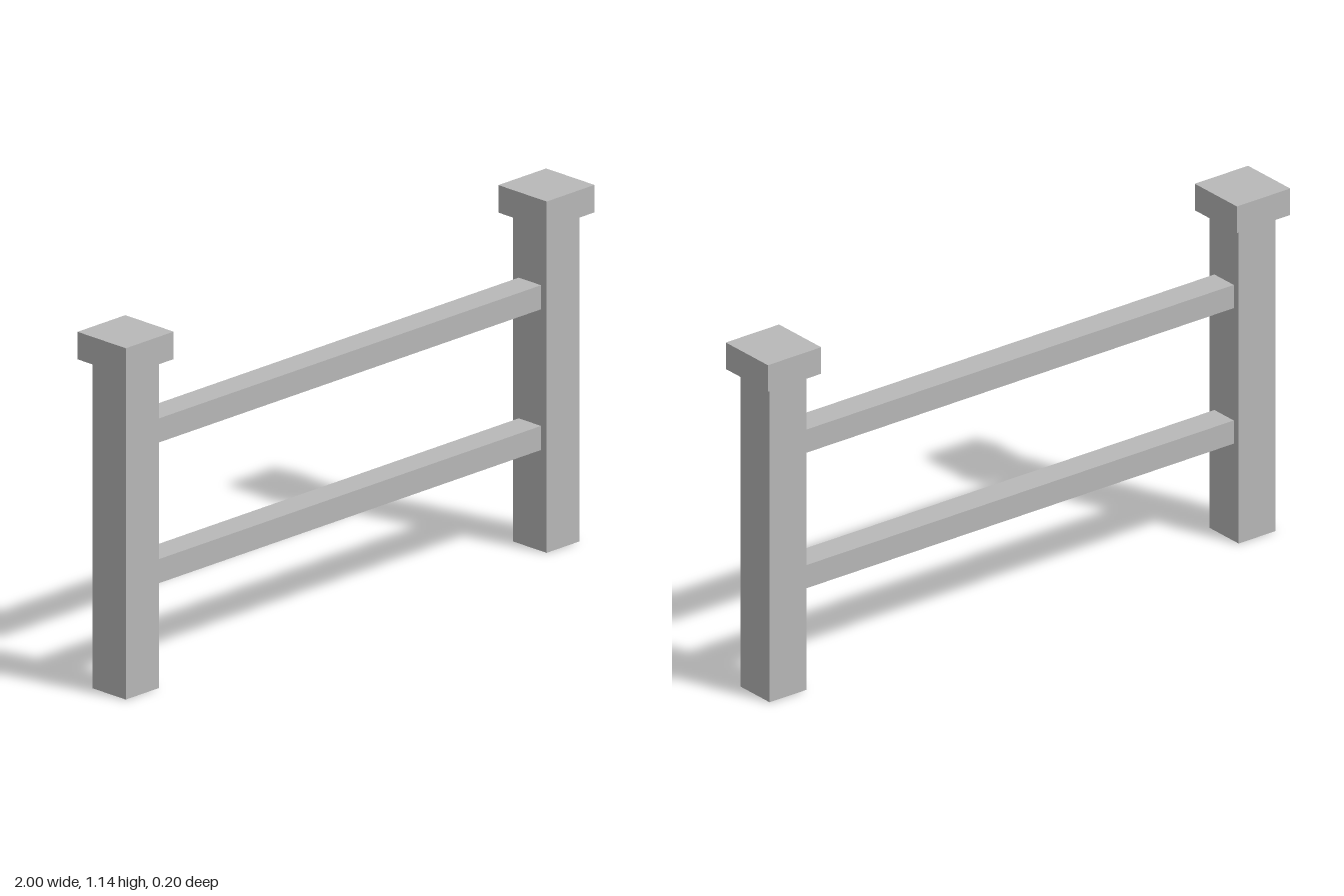
import * as THREE from 'three';

export function createModel() {
  const model = new THREE.Group();
  const grey = new THREE.MeshStandardMaterial({ color: 0xb8b8b8 });
  grey.name = 'plain grey';

  // Box standing on height y
  function addBox(parent, name, width, height, depth, x, y) {
    const mesh = new THREE.Mesh(new THREE.BoxGeometry(width, height, depth), grey);
    mesh.name = name;
    mesh.position.set(x, y + height / 2, 0);
    parent.add(mesh);
  }

  const postX = 0.898, postWidth = 0.141, postHeight = 1.052;
  const capWidth = 0.204, capHeight = 0.088;

  // Square posts with overhanging caps
  for (const [side, sign] of [['left', 1], ['right', -1]]) {
    const post = new THREE.Group();
    post.name = side + 'Post';
    post.position.x = sign * postX;
    addBox(post, side + 'PostShaft', postWidth, postHeight, postWidth, 0, 0);
    addBox(post, side + 'PostCap', capWidth, capHeight, capWidth, 0, postHeight);
    model.add(post);
  }

  // Two rails between the inner faces of the posts
  const railLength = 2 * postX - postWidth;
  for (const [name, y] of [['lowerRail', 0.323], ['upperRail', 0.773]]) {
    addBox(model, name, railLength, 0.077, 0.094, 0, y);
  }

  return model;
}
